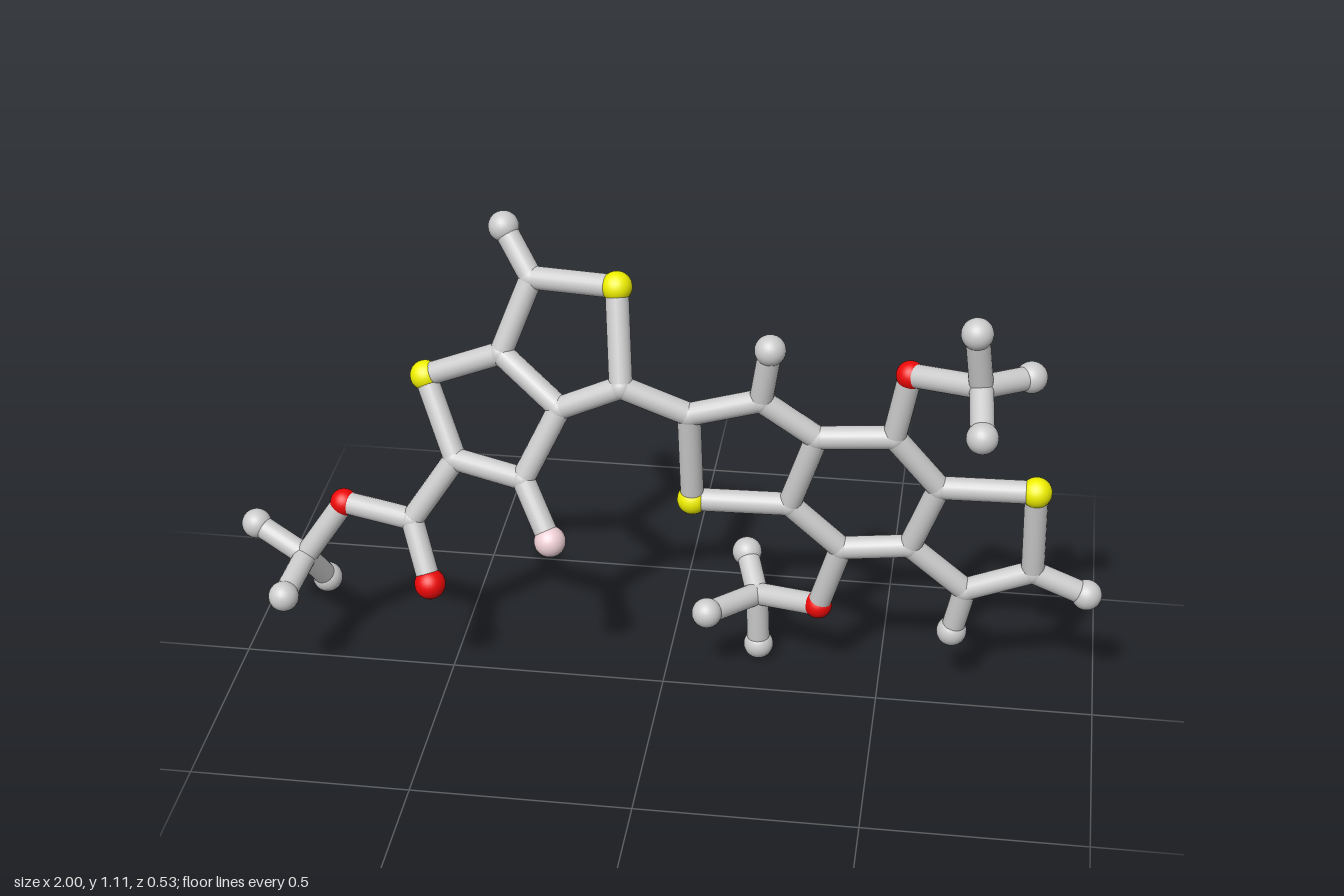
import * as THREE from 'three';

const grey = new THREE.MeshStandardMaterial({ color: 0xcccccc });
const yellow = new THREE.MeshStandardMaterial({ color: 0xf0f000 });
const red = new THREE.MeshStandardMaterial({ color: 0xee0808 });
const pink = new THREE.MeshStandardMaterial({ color: 0xeed0d6 });

// Atom kinds: name, ball radius, material
const kinds = {
  C: ['carbonJoint', 0.028, grey],
  H: ['hydrogenBall', 0.035, grey],
  S: ['sulfurBall', 0.035, yellow],
  O: ['oxygenBall', 0.032, red],
  Q: ['carbonylOxygenBall', 0.036, red],
  F: ['fluorineBall', 0.036, pink],
};
const BOND_RADIUS = 0.0265;

// The two fused ring systems are flat: z follows from x and y
const leftPlane = (x, y) => 0.278 * x - 0.377 * y + 0.353;
const rightPlane = (x, y) => 0.13 * y - 0.081;

// Each unit lists its atoms as id: [x, y, z]; z is left out for atoms in the plane
const units = {
  leftRings: {
    plane: leftPlane,
    atoms: {
      S1: [-0.11, 1.0], C1: [-0.31, 0.985], H1: [-0.38, 1.08], C2: [-0.375, 0.815],
      C3: [-0.23, 0.725], C4: [-0.09, 0.795], S2: [-0.555, 0.735], C5: [-0.475, 0.57],
      C6: [-0.31, 0.56], F1: [-0.24, 0.44],
    },
    bonds: 'S1-C1 C1-H1 C1-C2 C2-C3 C3-C4 C4-S1 C2-S2 S2-C5 C5-C6 C6-C3 C6-F1 C4-C7',
  },
  esterGroup: {
    plane: leftPlane,
    atoms: {
      C20: [-0.575, 0.42], Q1: [-0.525, 0.29, 0.1], O1: [-0.745, 0.425, -0.01],
      C21: [-0.84, 0.285, 0.01], H21: [-0.965, 0.335, -0.035],
      H22: [-0.86, 0.255, 0.145], H23: [-0.81, 0.185, -0.06],
    },
    bonds: 'C5-C20 C20-Q1 C20-O1 O1-C21 C21-H21 C21-H22 C21-H23',
  },
  rightRings: {
    plane: rightPlane,
    atoms: {
      C7: [0.06, 0.73], C8: [0.22, 0.78], H8: [0.24, 0.915], C9: [0.345, 0.69],
      C10: [0.285, 0.5], S3: [0.065, 0.495], C11: [0.515, 0.705], C12: [0.62, 0.575],
      C13: [0.56, 0.405], C14: [0.405, 0.385], S4: [0.835, 0.58], C15: [0.69, 0.29],
      C16: [0.84, 0.355], H15: [0.665, 0.165], H16: [0.965, 0.3],
    },
    bonds: 'C7-C8 C8-H8 C8-C9 C9-C10 C10-S3 S3-C7 C9-C11 C11-C12 C12-C13 C13-C14 C14-C10 '
      + 'C12-S4 S4-C16 C16-C15 C15-C13 C15-H15 C16-H16',
  },
  upperMethoxy: {
    plane: rightPlane,
    atoms: {
      O5: [0.545, 0.87, 0.025], C30: [0.7, 0.9, 0.115], H31: [0.685, 1.04, 0.143],
      H32: [0.805, 0.89, 0.037], H33: [0.71, 0.84, 0.23],
    },
    bonds: 'C11-O5 O5-C30 C30-H31 C30-H32 C30-H33',
  },
  lowerMethoxy: {
    plane: rightPlane,
    atoms: {
      O6: [0.355, 0.21, -0.058], C40: [0.205, 0.18, -0.133], H41: [0.17, 0.235, -0.228],
      H42: [0.1, 0.19, -0.018], H43: [0.21, 0.036, -0.14],
    },
    bonds: 'C14-O6 O6-C40 C40-H41 C40-H42 C40-H43',
  },
};

const ballGeometry = new THREE.SphereGeometry(1, 24, 16);
const rodGeometry = new THREE.CylinderGeometry(BOND_RADIUS, BOND_RADIUS, 1, 20, 1, true);
const UP = new THREE.Vector3(0, 1, 0);

function makeBall(id, position) {
  const [name, radius, material] = kinds[id[0]];
  const ball = new THREE.Mesh(ballGeometry, material);
  ball.name = name;
  ball.position.copy(position);
  ball.scale.setScalar(radius);
  return ball;
}

// Rod running between two atom centres
function makeBond(a, b) {
  const rod = new THREE.Mesh(rodGeometry, grey);
  const along = b.clone().sub(a);
  rod.name = 'bondRod';
  rod.position.copy(a).add(b).multiplyScalar(0.5);
  rod.scale.y = along.length();
  rod.quaternion.setFromUnitVectors(UP, along.normalize());
  return rod;
}

export function createModel() {
  const model = new THREE.Group();
  model.name = 'stickMolecule';

  // Place all atoms first, as bonds also link neighbouring units
  const at = {};
  for (const { plane, atoms } of Object.values(units)) {
    for (const [id, [x, y, z = plane(x, y)]] of Object.entries(atoms)) {
      at[id] = new THREE.Vector3(x, y, z);
    }
  }

  for (const [name, { atoms, bonds }] of Object.entries(units)) {
    const group = new THREE.Group();
    group.name = name;
    for (const id of Object.keys(atoms)) group.add(makeBall(id, at[id]));
    for (const bond of bonds.split(' ')) {
      const [a, b] = bond.split('-');
      group.add(makeBond(at[a], at[b]));
    }
    model.add(group);
  }
  return model;
}
